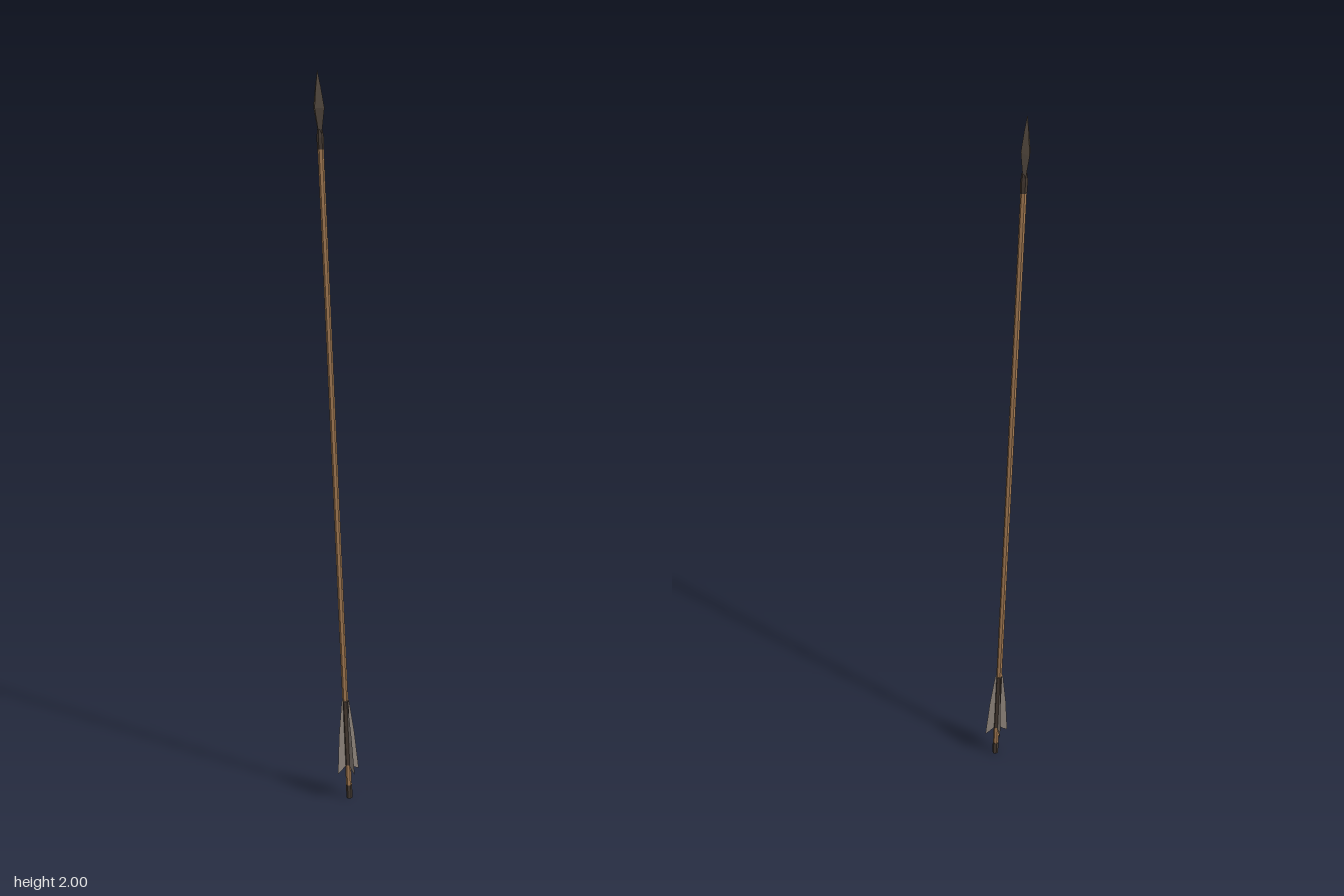
import * as THREE from 'three';

const mat = (name, color, extra = {}) =>
  new THREE.MeshStandardMaterial({ name, color, flatShading: true, ...extra });

export function createModel() {
  const wood = mat('wood', 0xa67c54);
  const iron = mat('iron', 0x6b5e52);
  const binding = mat('binding', 0x453a32);
  const feather = mat('feather', 0x8a8078, { side: THREE.DoubleSide });

  // The whole arrow leans slightly from nock to tip
  const arrow = new THREE.Group();
  arrow.name = 'arrow';
  const add = (name, geometry, material) => {
    const mesh = new THREE.Mesh(geometry, material);
    mesh.name = name;
    arrow.add(mesh);
    return mesh;
  };
  const turned = (points, sides) =>
    new THREE.LatheGeometry(points.map(([r, y]) => new THREE.Vector2(r, y)), sides);

  // Shaft, with dark bindings at both ends and under the feathers
  add('shaft', turned([[0, 0.03], [0.008, 0.03], [0.008, 1.82], [0, 1.82]], 6), wood);
  add('nock', turned([[0, 0], [0.008, 0], [0.009, 0.04], [0, 0.04]], 6), binding);
  add('featherBinding', turned([[0, 0.1], [0.009, 0.1], [0.009, 0.29], [0, 0.3]], 6), binding);
  add('collar', turned([[0, 1.8], [0.0088, 1.8], [0.0095, 1.83], [0.007, 1.85], [0, 1.85]], 6), binding);

  // Flattened four-sided head
  const head = turned([[0, 1.838], [0.009, 1.84], [0.028, 1.905], [0.015, 1.955], [0, 2.0]], 4);
  head.scale(0.45, 1, 1);
  add('head', head, iron);

  // Four swept feathers around the tail
  const vane = new THREE.Shape();
  [[0, 0.31], [0.012, 0.29], [0.025, 0.19], [0.034, 0.08], [0.02, 0.088], [0, 0.105]]
    .forEach(([x, y], i) => (i ? vane.lineTo(x, y) : vane.moveTo(x, y)));
  vane.closePath();
  for (let i = 0; i < 4; i++) {
    add('feather', new THREE.ShapeGeometry(vane), feather).rotation.y = i * Math.PI / 2;
  }

  // Lean from the nock point towards the tip
  const nock = new THREE.Vector3(0.024, 0, 0.0205);
  const tip = new THREE.Vector3(-0.0465, 2, -0.0275);
  arrow.position.copy(nock);
  arrow.quaternion.setFromUnitVectors(new THREE.Vector3(0, 1, 0), tip.sub(nock).normalize());

  const model = new THREE.Group();
  model.name = 'model';
  model.add(arrow);
  return model;
}
